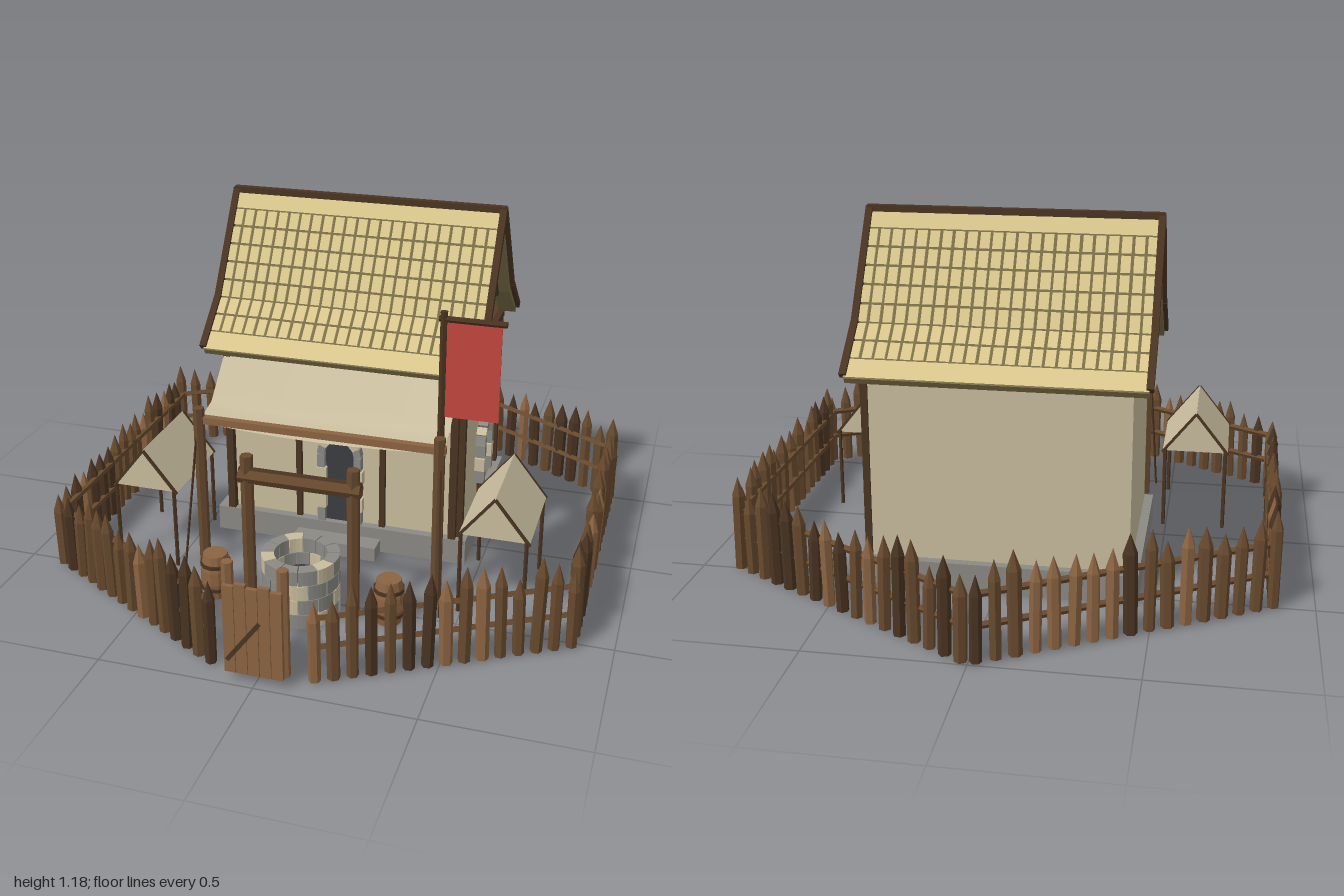
import * as THREE from 'three';
import { mergeGeometries } from 'three/addons/utils/BufferGeometryUtils.js';

const mat = (name, color, side = THREE.FrontSide) => {
  const m = new THREE.MeshStandardMaterial({ color, side });
  m.name = name;
  return m;
};

export function createModel() {
  const root = new THREE.Group();
  root.name = 'fortifiedCottage';
  const straw = mat('straw', 0xd9c68c), gap = mat('shingleGap', 0x7a6d47);
  const plaster = mat('plaster', 0xc9bd9e), dark = mat('darkTimber', 0x4a3422);
  const wood = mat('wood', 0x8c6442), post = mat('fenceWood', 0x684a2e);
  const stone = mat('stone', 0x8a8984), hollow = mat('shadowHollow', 0x3c3d40);
  const cloth = mat('canvas', 0xc9bd9e, THREE.DoubleSide);
  const red = mat('redCloth', 0xc4473f, THREE.DoubleSide);

  let seed = 7;
  const rnd = () => (seed = (seed * 16807) % 2147483647) / 2147483647;
  const V = (x, y, z) => new THREE.Vector3(x, y, z);
  const flat = (g) => {
    const f = g.index ? g.toNonIndexed() : g;
    f.computeVertexNormals();
    return f;
  };
  const add = (name, geo, m, x = 0, y = 0, z = 0, parent = root) => {
    const mesh = new THREE.Mesh(geo, m);
    mesh.name = name;
    mesh.position.set(x, y, z);
    parent.add(mesh);
    return mesh;
  };
  const box = (name, w, h, d, m, x, y, z, parent) => add(name, new THREE.BoxGeometry(w, h, d), m, x, y, z, parent);
  // square (or many-sided) bar between two points
  const bar = (name, a, b, r, m, sides = 4, parent = root) => {
    const g = new THREE.CylinderGeometry(r, r, a.distanceTo(b), sides);
    if (sides === 4) g.rotateY(Math.PI / 4);
    const mesh = add(name, flat(g), m, 0, 0, 0, parent);
    mesh.position.copy(a).lerp(b, 0.5);
    mesh.quaternion.setFromUnitVectors(V(0, 1, 0), b.clone().sub(a).normalize());
    return mesh;
  };
  // extrude a (z, y) outline along x, centred
  const extrudeX = (pts, width) => {
    const g = new THREE.ExtrudeGeometry(new THREE.Shape(pts.map((p) => new THREE.Vector2(...p))), { depth: width, bevelEnabled: false });
    return g.translate(0, 0, -width / 2).rotateY(Math.PI / 2);
  };
  const RZ = -0.2; // ridge line

  // House body
  box('plinth', 0.9, 0.09, 0.68, stone, 0, 0.045, RZ);
  box('doorStep', 0.3, 0.05, 0.08, stone, 0, 0.025, 0.17);
  box('walls', 0.84, 0.61, 0.62, plaster, 0, 0.385, RZ);
  add('gables', extrudeX([[-0.34, 0.69], [0.34, 0.69], [0.2, 0.82], [0, 1.13], [-0.2, 0.82]], 0.82), wood, 0, 0, RZ);

  // Roof: flared slab covered with shingle rows
  const prof = [[0, 1.16], [0.21, 0.835], [0.365, 0.7]];
  const outline = [...prof, [0.355, 0.682], [0.2, 0.81], [0, 1.12], [-0.2, 0.81], [-0.355, 0.682], [-0.365, 0.7], [-0.21, 0.835]];
  add('roofSlab', extrudeX(outline, 0.94), gap, 0, 0, RZ);
  const shingles = [];
  for (const s of [1, -1]) {
    [6, 3].forEach((rows, k) => {
      const [d0, y0] = prof[k], [d1, y1] = prof[k + 1];
      const dd = d1 - d0, dy = y0 - y1, L = Math.hypot(dd, dy);
      const ang = Math.atan2(dy, dd);
      for (let r = 0; r < rows; r++) {
        const t = (r + 0.5) / rows;
        const plain = (k === 0 && r === 0) || (k === 1 && r === rows - 1);
        const cols = plain ? 1 : 23, pitch = 0.94 / cols;
        for (let c = 0; c < cols; c++) {
          const g = new THREE.BoxGeometry(pitch - (plain ? 0 : 0.008 + rnd() * 0.003), 0.009, L / rows - (plain ? 0.002 : 0.008));
          g.rotateX(s > 0 ? ang : Math.PI - ang);
          g.translate(-0.47 + (c + 0.5) * pitch, y0 - dy * t + (dd / L) * 0.004, RZ + s * (d0 + dd * t + (dy / L) * 0.004));
          shingles.push(g);
        }
      }
      // bargeboards on both roof ends
      for (const x of [-0.472, 0.472])
        bar('bargeboard', V(x, y0 + 0.008, RZ + s * d0), V(x, y1 + 0.008, RZ + s * d1), 0.016, dark);
    });
  }
  add('shingles', mergeGeometries(shingles), straw);
  box('ridgeBeam', 0.96, 0.025, 0.025, dark, 0, 1.165, RZ);

  // Timber framing on the right gable and the front wall
  const gx = 0.422;
  bar('tieBeam', V(gx, 0.685, 0.14), V(gx, 0.685, -0.53), 0.016, dark);
  bar('kingPost', V(gx, 0.09, RZ), V(gx, 1.13, RZ), 0.014, dark);
  for (const s of [1, -1]) {
    bar('gableBrace', V(gx, 0.78, RZ), V(gx, 0.865, RZ + s * 0.17), 0.013, dark);
    bar('gableRafter', V(gx, 1.12, RZ), V(gx, 0.8, RZ + s * 0.2), 0.013, dark);
    bar('sideCornerPost', V(gx, 0.09, RZ + s * 0.305), V(gx, 0.69, RZ + s * 0.305), 0.016, dark);
    bar('frontPost', V(s * 0.4, 0.09, 0.125), V(s * 0.4, 0.69, 0.125), 0.018, dark);
    bar('doorPost', V(s * 0.15, 0.09, 0.115), V(s * 0.15, 0.68, 0.115), 0.014, dark);
  }
  add('gableRing', new THREE.TorusGeometry(0.068, 0.009, 6, 20).rotateY(Math.PI / 2), dark, gx + 0.004, 0.87, RZ);

  // Arched openings with alternating stone blocks
  const arch = (name, r, h, blocks) => {
    const g = new THREE.Group();
    g.name = name;
    const s = new THREE.Shape();
    s.moveTo(-r, 0).lineTo(r, 0).lineTo(r, h).absarc(0, h, r, 0, Math.PI).lineTo(-r, 0);
    add('opening', new THREE.ExtrudeGeometry(s, { depth: 0.006, bevelEnabled: false }), hollow, 0, 0, 0, g);
    for (let i = 0; i < 7; i++) {
      const a = ((i + 0.5) / 7) * Math.PI, R = r + 0.01;
      box('archBlock', 0.026, R * 0.44, 0.035, i % 2 ? plaster : stone, Math.cos(a) * R, h + Math.sin(a) * R, 0.01, g).rotation.z = a;
    }
    for (let i = 0; i < blocks; i++)
      for (const x of [-1, 1])
        box('jambBlock', 0.026 + (i % 2) * 0.01, h / blocks - 0.003, 0.035, i % 2 ? plaster : stone, x * (r + 0.01), ((i + 0.5) * h) / blocks, 0.01, g);
    root.add(g);
    return g;
  };
  arch('frontDoor', 0.055, 0.26, 5).position.set(0, 0.09, 0.112);
  const win = arch('sideWindow', 0.055, 0.15, 3);
  win.position.set(0.43, 0.18, RZ);
  win.rotation.y = Math.PI / 2;

  // Canvas porch awning, sagging between wall and front beam
  const awn = new THREE.PlaneGeometry(0.82, 1, 10, 8);
  const ap = awn.attributes.position;
  const line = [[0.12, 0.69], [0.26, 0.555], [0.375, 0.53]];
  for (let i = 0; i < ap.count; i++) {
    const x = ap.getX(i), t = (0.5 - ap.getY(i)) * 2, k = t < 1 ? 0 : 1, f = t - k;
    const sag = 0.018 * (1 - (x / 0.41) ** 2);
    ap.setXYZ(i, x, line[k][1] + (line[k + 1][1] - line[k][1]) * f - sag, line[k][0] + (line[k + 1][0] - line[k][0]) * f);
  }
  awn.computeVertexNormals();
  add('awning', awn, cloth);
  bar('awningBeam', V(-0.425, 0.542, 0.375), V(0.425, 0.542, 0.375), 0.017, wood);
  for (const s of [1, -1]) {
    bar('awningPost', V(s * 0.405, 0, 0.38), V(s * 0.405, 0.585, 0.38), 0.019, post, 6);
    bar('guyRope', V(s * 0.41, 0.54, 0.38), V(s * 0.44, 0, 0.48), 0.004, dark);
  }

  // Banner on its pole
  bar('bannerPole', V(0.395, 0, 0.325), V(0.395, 0.985, 0.325), 0.012, dark, 6);
  bar('bannerArm', V(0.38, 0.96, 0.325), V(0.59, 0.96, 0.325), 0.01, dark, 6);
  box('banner', 0.175, 0.315, 0.005, red, 0.488, 0.793, 0.325);

  // Side tents: canvas gable roofs on thin posts
  for (const s of [1, -1]) {
    const tent = new THREE.Group();
    tent.name = 'tent';
    tent.position.set(s * 0.595, 0, 0.258);
    root.add(tent);
    const tri = new THREE.Shape([new THREE.Vector2(-0.11, 0.28), new THREE.Vector2(0.11, 0.28), new THREE.Vector2(0, 0.42)]);
    for (const z of [-0.165, 0.165]) {
      add('tentEnd', new THREE.ShapeGeometry(tri), cloth, 0, 0, z * 0.98, tent);
      for (const x of [-1, 1]) {
        bar('tentRake', V(0, 0.42, z), V(x * 0.115, 0.275, z), 0.006, dark, 4, tent);
        bar('tentPost', V(x * 0.105, 0, z), V(x * 0.105, 0.285, z), 0.007, dark, 5, tent);
      }
    }
    for (const x of [-1, 1]) {
      const side = box('tentSlope', 0.184, 0.004, 0.33, cloth, x * 0.056, 0.349, 0, tent);
      side.rotation.z = -x * Math.atan2(0.14, 0.11);
    }
  }

  // Well: staggered stone courses, dark shaft, posts and beam
  const well = new THREE.Group();
  well.name = 'well';
  well.position.set(0, 0, 0.55);
  root.add(well);
  for (let c = 0; c < 4; c++)
    for (let i = 0; i < 12; i++) {
      const a0 = ((i + (c % 2) * 0.5) / 12) * Math.PI * 2, a1 = a0 + (Math.PI * 2) / 12 - 0.03;
      const s = new THREE.Shape();
      s.absarc(0, 0, 0.126, a0, a1, false).absarc(0, 0, 0.085, a1, a0, true);
      const g = new THREE.ExtrudeGeometry(s, { depth: 0.05, bevelEnabled: false, curveSegments: 2 }).rotateX(-Math.PI / 2);
      add('wellStone', g, (i * 5 + c * 2) % 7 < 2 ? plaster : stone, 0, c * 0.052, 0, well);
    }
  add('wellShaft', new THREE.CylinderGeometry(0.088, 0.088, 0.1, 16), hollow, 0, 0.06, 0, well);
  for (const s of [1, -1]) bar('wellPost', V(s * 0.175, 0, 0), V(s * 0.175, 0.525, 0), 0.021, post, 6, well);
  bar('wellBeam', V(-0.2, 0.455, 0), V(0.2, 0.455, 0), 0.026, post, 6, well);
  bar('wellBeamPeg', V(-0.2, 0.47, 0), V(0.2, 0.47, 0), 0.014, dark, 6, well);

  // Barrels
  const P2 = (x, y) => new THREE.Vector2(x, y);
  for (const [x, z] of [[-0.295, 0.55], [0.29, 0.54]]) {
    add('barrel', flat(new THREE.LatheGeometry([P2(0, 0), P2(0.04, 0), P2(0.05, 0.055), P2(0.05, 0.1), P2(0.04, 0.155), P2(0, 0.155)], 12)), wood, x, 0, z);
    for (const y of [0.035, 0.12]) add('barrelHoop', new THREE.CylinderGeometry(0.0505, 0.0505, 0.012, 12), dark, x, y, z);
  }

  // Palisade: pointed stakes with two rails around a hexagon
  const stakes = { wood: [], post: [], dark: [] }, keys = ['wood', 'post', 'post', 'dark', 'post'];
  const corners = [[0.165, 0.915], [0.868, 0.52], [0.868, -0.5], [0.022, -0.985]], counts = [14, 17, 16];
  for (const s of [1, -1])
    counts.forEach((n, k) => {
      const [ax, az] = corners[k], [bx, bz] = corners[k + 1];
      for (let i = 0; i < n + (k === 2 ? 1 : 0); i++) {
        const t = i / n, h = 0.26 + rnd() * 0.075, r = 0.019 + rnd() * 0.004;
        const g = flat(new THREE.LatheGeometry([P2(0, 0), P2(r * 0.95, 0), P2(r, h - 0.065), P2(0, h)], 6));
        g.rotateY(rnd() * 3).rotateZ((rnd() - 0.5) * 0.05);
        g.translate(s * (ax + (bx - ax) * t), 0.004, az + (bz - az) * t);
        stakes[keys[Math.floor(rnd() * 5)]].push(g);
      }
      for (const y of [0.11, 0.21]) bar('fenceRail', V(s * ax * 0.985, y, az * 0.985), V(s * bx * 0.985, y, bz * 0.985), 0.011, post);
    });
  add('lightStakes', mergeGeometries(stakes.wood), wood);
  add('fenceStakes', mergeGeometries(stakes.post), post);
  add('darkStakes', mergeGeometries(stakes.dark), dark);

  // Gate
  for (let i = 0; i < 5; i++) {
    const h = 0.295 + (i % 2) * 0.01;
    box('gateBoard', 0.035, h, 0.014, wood, -0.076 + i * 0.037, 0.03 + h / 2, 0.975);
  }
  bar('gateBrace', V(-0.08, 0.08, 0.988), V(0.02, 0.215, 0.988), 0.009, dark);
  for (const y of [0.09, 0.27]) box('gateRail', 0.18, 0.025, 0.012, post, 0, y, 0.962);
  for (const s of [1, -1]) bar('gatePost', V(s * 0.085, 0.03, 0.952), V(s * 0.085, 0.39, 0.952), 0.018, wood, 6);
  return root;
}
